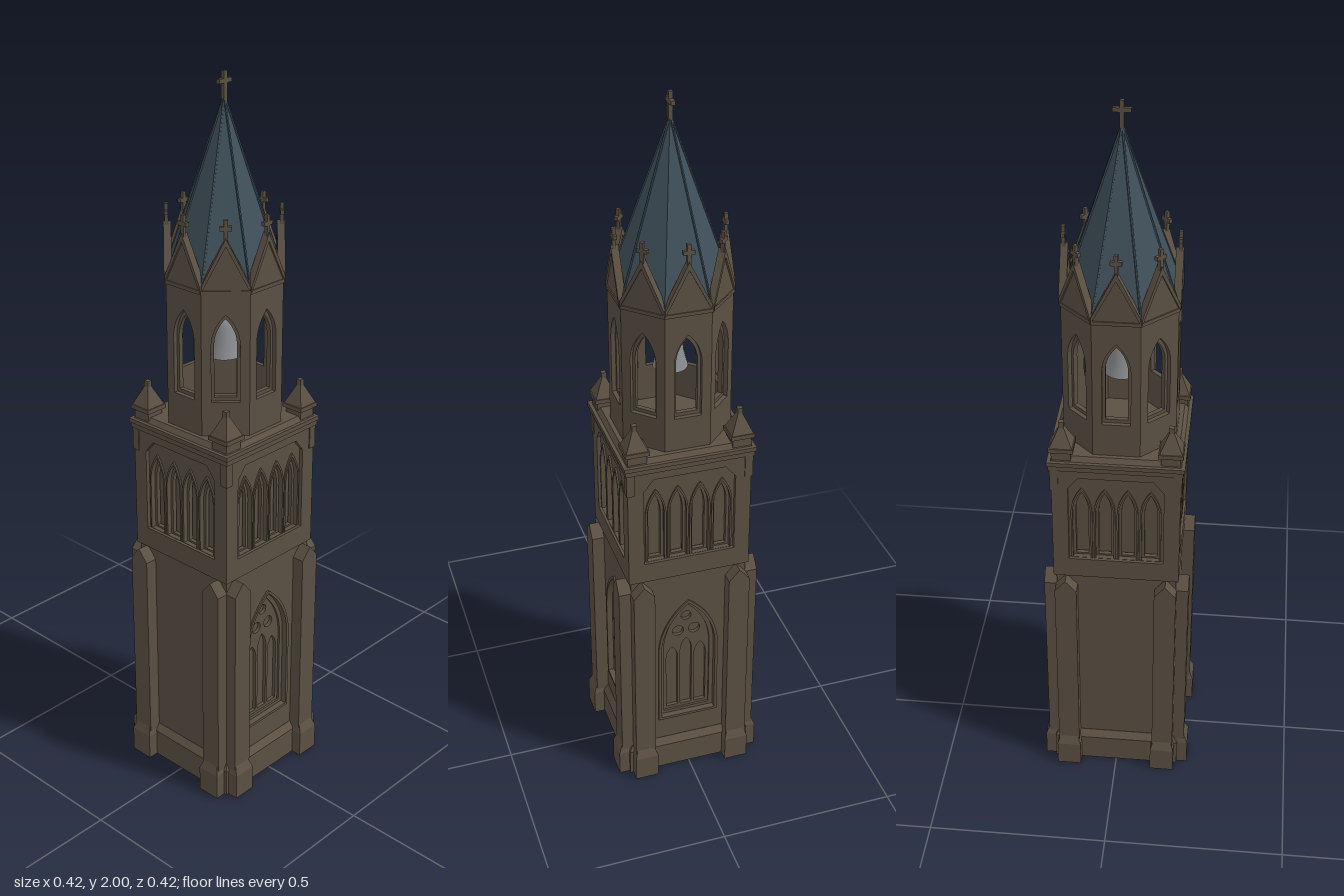
import * as THREE from 'three';

const stone = new THREE.MeshStandardMaterial({ color: 0x5b5043 });
const slate = new THREE.MeshStandardMaterial({ color: 0x3f4f59, flatShading: true });
const bronze = new THREE.MeshStandardMaterial({ color: 0x8a8d90, side: THREE.DoubleSide });
const T8 = Math.tan(Math.PI / 8);

export function createModel() {
  const model = new THREE.Group();

  const add = (name, geometry, material = stone) => {
    const mesh = new THREE.Mesh(geometry, material);
    mesh.name = name;
    model.add(mesh);
    return mesh;
  };

  // Block standing on y0; its top may be scaled for slopes and pyramids
  const block = (w, d, y0, y1, x = 0, z = 0, top = 1) => {
    const g = new THREE.BoxGeometry(w, y1 - y0, d).toNonIndexed();
    const p = g.attributes.position;
    for (let i = 0; i < p.count; i++) {
      if (p.getY(i) > 0) p.setXYZ(i, p.getX(i) * top, p.getY(i), p.getZ(i) * top);
    }
    g.computeVertexNormals();
    return g.translate(x, (y0 + y1) / 2, z);
  };

  // Upright slab whose outer face lies at distance dist, turned to an angle
  const slab = (shape, dist, depth, angle) =>
    new THREE.ExtrudeGeometry(shape, { depth, bevelEnabled: false, curveSegments: 8 })
      .translate(0, 0, dist - depth).rotateY(angle);

  const poly = (pts, Kind = THREE.Shape) => new Kind(pts.map(([x, y]) => new THREE.Vector2(x, y)));
  const rect = (w, y0, y1) => poly([[-w, y0], [w, y0], [w, y1], [-w, y1]]);

  // Pointed arch of half width w
  const lancet = (x, w, y0, spring, rise, Kind = THREE.Path) => {
    const R = (w * w + rise * rise) / (2 * w);
    const a = Math.atan2(rise, R - w);
    const s = new Kind();
    s.moveTo(x - w, y0);
    s.lineTo(x + w, y0);
    s.lineTo(x + w, spring);
    s.absarc(x + w - R, spring, R, 0, a, false);
    s.absarc(x - w + R, spring, R, Math.PI - a, Math.PI, false);
    s.closePath();
    return s;
  };
  const pierce = (shape, ...holes) => { shape.holes.push(...holes); return shape; };
  const circle = (x, y, r) => new THREE.Path().absarc(x, y, r, 0, Math.PI * 2, false);

  // Core and plinth
  add('towerCore', block(0.27, 0.27, 0, 1.05));
  add('plinth', block(0.36, 0.36, 0, 0.08));
  add('plinthSlope', block(0.36, 0.36, 0.08, 0.1, 0, 0, 0.92));

  const bays = [-0.093, -0.031, 0.031, 0.093];
  for (let i = 0; i < 4; i++) {
    const angle = i * Math.PI / 2;

    // Lower wall: great window on the front and left, plain elsewhere
    const wall = rect(0.165, 0, 0.7);
    if (i < 2) {
      add('lowerWall', slab(pierce(wall, lancet(0, 0.08, 0.18, 0.42, 0.165)), 0.165, 0.012, angle));
      add('windowReveal', slab(pierce(rect(0.15, 0.1, 0.68),
        lancet(0, 0.068, 0.19, 0.42, 0.15)), 0.153, 0.012, angle));
      add('windowTracery', slab(pierce(lancet(0, 0.07, 0.185, 0.42, 0.155, THREE.Shape),
        lancet(-0.042, 0.017, 0.2, 0.38, 0.04), lancet(0, 0.017, 0.2, 0.4, 0.045),
        lancet(0.042, 0.017, 0.2, 0.38, 0.04),
        circle(-0.024, 0.475, 0.017), circle(0.024, 0.475, 0.017), circle(0, 0.525, 0.015)),
      0.147, 0.01, angle));
      add('windowHood', slab(pierce(lancet(0, 0.088, 0.172, 0.42, 0.175, THREE.Shape),
        lancet(0, 0.08, 0.18, 0.42, 0.165)), 0.17, 0.01, angle));
    } else {
      add('lowerWall', slab(wall, 0.165, 0.03, angle));
    }

    // Upper wall: sunk panel holding a blind arcade of four arches
    add('upperWall', slab(pierce(rect(0.172, 0.69, 1.05), poly([[-0.128, 0.75], [0.128, 0.75],
      [0.128, 0.985], [0.1, 1.02], [-0.1, 1.02], [-0.128, 0.985]], THREE.Path)), 0.172, 0.03, angle));
    add('arcade', slab(pierce(rect(0.135, 0.72, 1.03),
      ...bays.map(x => lancet(x, 0.025, 0.752, 0.9, 0.075))), 0.161, 0.01, angle));
    add('arcadeReveal', slab(pierce(rect(0.135, 0.72, 1.03),
      ...bays.map(x => lancet(x, 0.017, 0.757, 0.9, 0.06))), 0.151, 0.012, angle));
    for (const x of bays) {
      add('arcadeRim', slab(pierce(lancet(x, 0.029, 0.752, 0.9, 0.083, THREE.Shape),
        lancet(x, 0.024, 0.753, 0.9, 0.073)), 0.166, 0.008, angle));
    }

    // Gabled buttress pair with stepped feet
    for (const s of [-1, 1]) {
      const c = s * 0.137;
      add('buttress', slab(poly([[c - 0.03, 0], [c + 0.03, 0], [c + 0.03, 0.655],
        [c, 0.69], [c - 0.03, 0.655]]), 0.2, 0.07, angle));
      add('buttressFoot', block(0.068, 0.08, 0, 0.075, c, 0.17).rotateY(angle));
      add('buttressFootSlope', block(0.068, 0.08, 0.075, 0.1, c, 0.17, 0.75).rotateY(angle));
    }
  }

  // Cornice and roof deck
  add('corniceLower', block(0.356, 0.356, 1.045, 1.06));
  add('corniceUpper', block(0.364, 0.364, 1.06, 1.072));
  add('deck', block(0.344, 0.344, 1.072, 1.085, 0, 0, 0.94));

  // Corner pinnacles
  for (const x of [-0.144, 0.144]) {
    for (const z of [-0.144, 0.144]) {
      const k = 0.164 / 0.144;
      add('pinnacleCorbel', block(0.022, 0.022, 0.98, 1.05, x * k, z * k));
      add('pinnacleShaft', block(0.052, 0.052, 1.07, 1.1, x, z));
      add('pinnacleEave', block(0.066, 0.066, 1.1, 1.112, x, z));
      add('pinnacleCap', block(0.06, 0.06, 1.112, 1.17, x, z, 0.12));
      add('pinnacleKnob', block(0.014, 0.014, 1.164, 1.18, x, z));
    }
  }

  // Octagonal belfry: eight open, gabled walls
  for (let i = 0; i < 8; i++) {
    const angle = i * Math.PI / 4;
    const w = 0.15 * T8;
    const wall = poly([[-w, 1.07], [w, 1.07], [w, 1.49], [0, 1.61], [-w, 1.49]]);
    add('belfryWall', slab(pierce(wall, lancet(0, 0.037, 1.18, 1.335, 0.085)), 0.15, 0.012, angle));
    add('belfryReveal', slab(pierce(rect(0.138 * T8, 1.07, 1.5),
      lancet(0, 0.029, 1.19, 1.335, 0.07)), 0.138, 0.013, angle));
    add('belfryBand', slab(rect(0.153 * T8, 1.475, 1.485), 0.153, 0.01, angle));
    add('gableCoping', slab(poly([[-w, 1.48], [0, 1.6], [w, 1.48], [w, 1.497],
      [0, 1.622], [-w, 1.497]]), 0.155, 0.02, angle));
    add('finialStem', block(0.01, 0.01, 1.61, 1.668, 0, 0.147).rotateY(angle));
    add('finialArm', block(0.03, 0.01, 1.64, 1.651, 0, 0.147).rotateY(angle));
  }

  // Bell and its hanger
  const bell = [[0.047, 1.255], [0.043, 1.27], [0.036, 1.3], [0.032, 1.34], [0.026, 1.365], [0, 1.372]];
  add('bell', new THREE.LatheGeometry(bell.map(([r, y]) => new THREE.Vector2(r, y)), 24), bronze);
  add('bellHanger', block(0.008, 0.008, 1.36, 1.51));

  // Spire with ribs along its edges
  const R = 0.157, y0 = 1.5, y1 = 1.94;
  add('spire', new THREE.ConeGeometry(R, y1 - y0, 8).rotateY(Math.PI / 8)
    .translate(0, (y0 + y1) / 2, 0), slate);
  for (let i = 0; i < 8; i++) {
    const a = (i + 0.5) * Math.PI / 4;
    const path = new THREE.LineCurve3(
      new THREE.Vector3(R * Math.sin(a), y0, R * Math.cos(a)), new THREE.Vector3(0, y1, 0));
    add('spireRib', new THREE.TubeGeometry(path, 1, 0.003, 5), slate);
  }

  // Cross
  add('crossStem', block(0.011, 0.011, 1.925, 2));
  add('crossArm', block(0.046, 0.011, 1.97, 1.981));

  return model;
}
